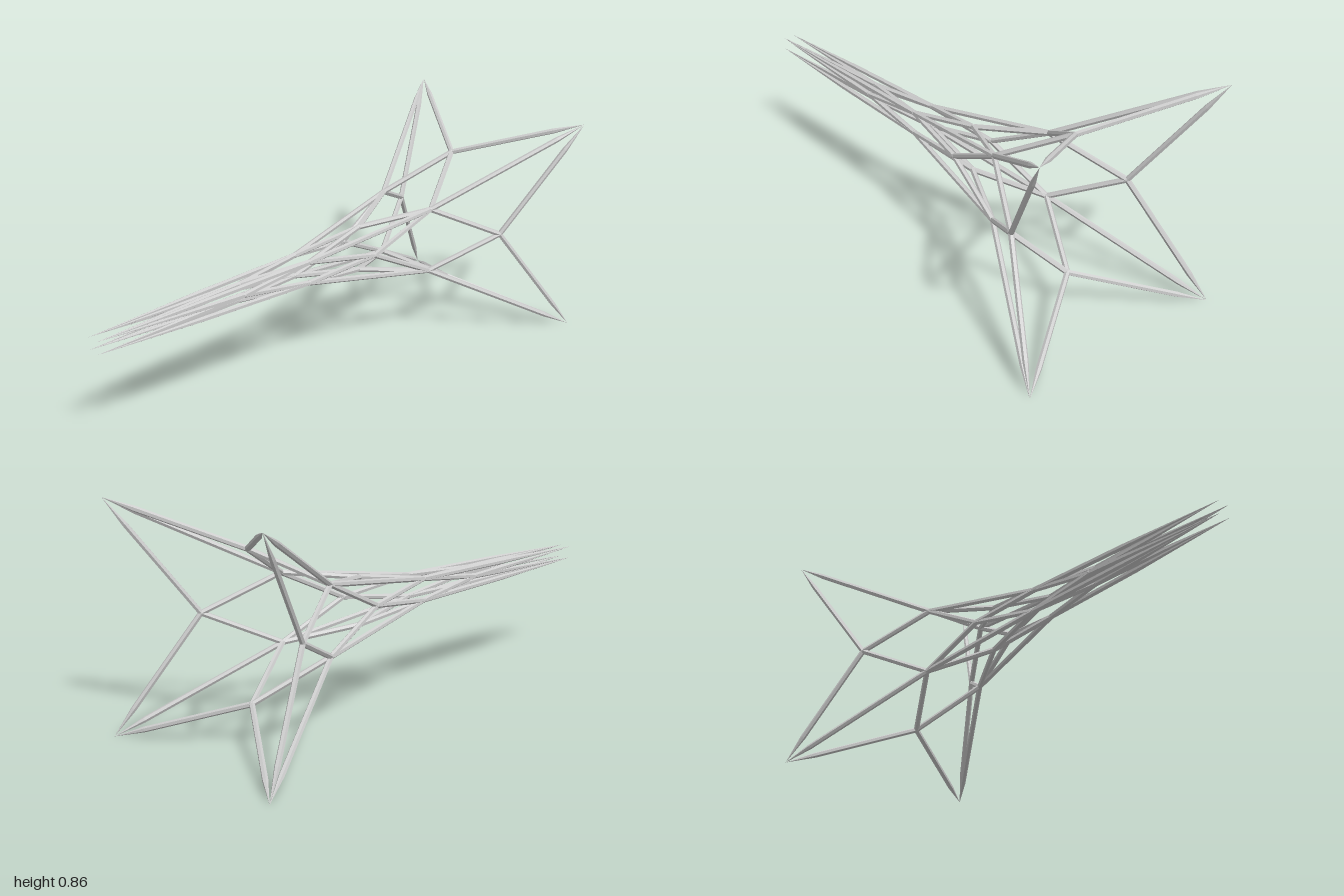
import * as THREE from 'three';

const CENTER_Y = 0.428;
const R = 0.0105; // rod radius

// Rings of four nodes from back to front: distance from axis, z, on diagonals or not
const RINGS = [
  { r: 0.428 * Math.SQRT2, z: -1.0, diagonal: true },
  { r: 0.272, z: -0.72, diagonal: false },
  { r: 0.129 * Math.SQRT2, z: -0.47, diagonal: true },
  { r: 0.089, z: -0.21, diagonal: false },
  { r: 0.042 * Math.SQRT2, z: 0.08, diagonal: true },
  { r: 0.031, z: 0.38, diagonal: false },
  { r: 0.024 * Math.SQRT2, z: 1.0, diagonal: true },
];

// Length over which rods sharpen to a point at the free ends
const TAPER = { 0: 0.12, 6: 0.45 };

function node(ring, k) {
  const { r, z, diagonal } = RINGS[ring];
  const a = (k + (diagonal ? 0.5 : 0)) * Math.PI / 2;
  return new THREE.Vector3(r * Math.cos(a), CENTER_Y + r * Math.sin(a), z);
}

// Six-sided rod from a to b, pointed at either end when a taper is given
function rod(name, a, b, taperA = 0, taperB = 0, material) {
  const dir = b.clone().sub(a);
  const len = dir.length();
  const profile = [[0, 0], [R, taperA], [R, len - taperB], [0, len]]
    .map(([x, y]) => new THREE.Vector2(x, y));
  const mesh = new THREE.Mesh(new THREE.LatheGeometry(profile, 6), material);
  mesh.name = name;
  mesh.position.copy(a);
  mesh.quaternion.setFromUnitVectors(new THREE.Vector3(0, 1, 0), dir.normalize());
  return mesh;
}

export function createModel() {
  const model = new THREE.Group();
  model.name = 'latticeSpire';
  const metal = new THREE.MeshStandardMaterial({ color: 0xcccccc, flatShading: true });
  metal.name = 'light grey';

  const braces = new THREE.Group();
  braces.name = 'zigzagBraces';
  const spines = new THREE.Group();
  spines.name = 'cornerSpines';
  const joints = new THREE.Group();
  joints.name = 'joints';
  model.add(braces, spines, joints);

  const jointGeometry = new THREE.IcosahedronGeometry(R * 1.05, 1);

  for (let i = 0; i < RINGS.length; i++) {
    for (let k = 0; k < 4; k++) {
      const a = node(i, k);

      // Zigzag to the two neighbours in the next ring
      if (i < 6) {
        const neighbours = RINGS[i].diagonal ? [k, k + 1] : [k, k - 1];
        for (const n of neighbours) {
          braces.add(rod('brace', a, node(i + 1, n), TAPER[i], TAPER[i + 1], metal));
        }
      }

      // Long spines joining the diagonal rings
      if (RINGS[i].diagonal && i < 6) {
        spines.add(rod('spine', a, node(i + 2, k), TAPER[i], TAPER[i + 2], metal));
      }

      // Rounded joint where rods meet, except at the sharp ends
      if (!TAPER[i]) {
        const joint = new THREE.Mesh(jointGeometry, metal);
        joint.name = 'joint';
        joint.position.copy(a);
        joints.add(joint);
      }
    }
  }
  return model;
}
